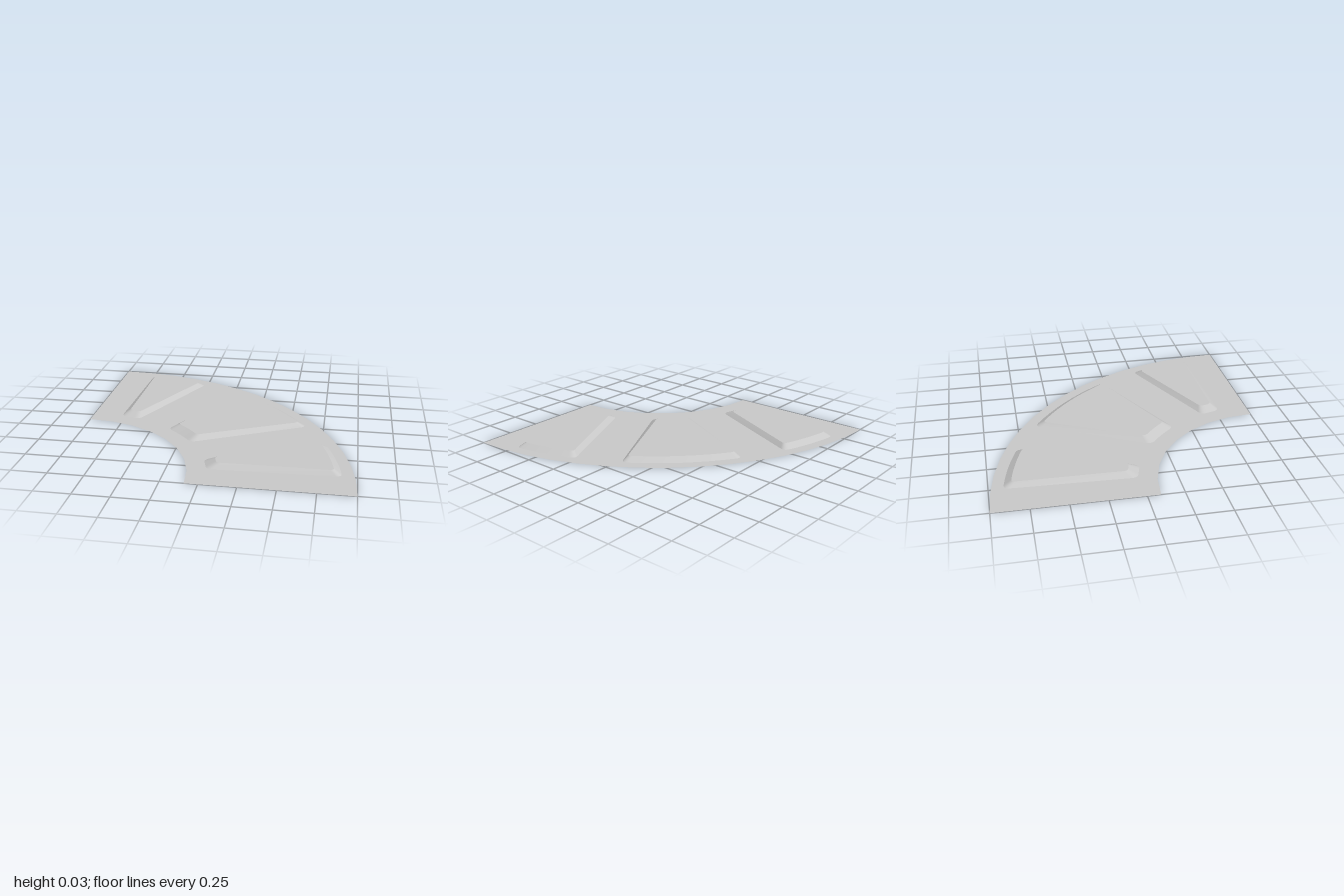
import * as THREE from 'three';

const RAD = Math.PI / 180;
const R_IN = 0.91, R_OUT = 2;          // ring sector radii
const PANEL_IN = 1.037, PANEL_OUT = 1.92; // raised panel radii
const HEIGHT = 0.03;

// Edge angles in degrees: [inner, outer] for each side of a panel
const PANELS = [
  { name: 'leftRaisedPanel', right: [69.6, 67.7], left: [77.8, 82.5] },
  { name: 'middleRaisedPanel', right: [37, 32.3], left: [53, 57.7] },
  { name: 'rightRaisedPanel', right: [12.2, 7.5], left: [20.4, 22.3] },
];

const polar = (r, a) => new THREE.Vector2(r * Math.cos(a), r * Math.sin(a));

function arc(r, a0, a1, n) {
  return Array.from({ length: n + 1 }, (_, i) => polar(r, a0 + (a1 - a0) * i / n));
}

// Counter-clockwise rounded outline of a panel, optionally inset
function outline(p, side, inner, outer, round) {
  const r0 = PANEL_IN + inner, r1 = PANEL_OUT - outer;
  const aR0 = p.right[0] * RAD + side / r0, aR1 = p.right[1] * RAD + side / r1;
  const aL0 = p.left[0] * RAD - side / r0, aL1 = p.left[1] * RAD - side / r1;
  const c = [polar(r0, aR0), polar(r1, aR1), polar(r1, aL1), polar(r0, aL0)];
  const toward = (a, b) => a.clone().add(b.clone().sub(a).setLength(round));
  const top = arc(r1, aR1 + round / r1, aL1 - round / r1, 8);
  const bottom = arc(r0, aL0 - round / r0, aR0 + round / r0, 5);
  const bend = (a, corner, b) => new THREE.QuadraticBezierCurve(a, corner, b).getPoints(5);
  return [
    ...bend(bottom[5], c[0], toward(c[0], c[1])),
    ...bend(toward(c[1], c[0]), c[1], top[0]),
    ...top.slice(1, -1),
    ...bend(top[8], c[2], toward(c[2], c[3])),
    ...bend(toward(c[3], c[2]), c[3], bottom[0]),
    ...bottom.slice(1, -1),
  ];
}

// Lay a flat shape on the ground, ring centre at the back-left-front corner
function flat(shape, y) {
  return new THREE.ShapeGeometry(shape).rotateX(-Math.PI / 2).translate(-1, y, 1);
}

// Sloping wall between the base and top outlines
function wall(base, top) {
  const pos = [], index = [], n = base.length;
  base.forEach((b, i) => {
    const t = top[i], j = (i + 1) % n;
    pos.push(b.x - 1, 0, 1 - b.y, t.x - 1, HEIGHT, 1 - t.y);
    index.push(2 * i, 2 * j, 2 * j + 1, 2 * i, 2 * j + 1, 2 * i + 1);
  });
  const g = new THREE.BufferGeometry();
  g.setAttribute('position', new THREE.Float32BufferAttribute(pos, 3));
  g.setIndex(index);
  g.computeVertexNormals();
  return g;
}

export function createModel() {
  const group = new THREE.Group();
  group.name = 'curvedPanelSheet';
  const grey = new THREE.MeshStandardMaterial({ color: 0xc8c8c8, side: THREE.DoubleSide });
  grey.name = 'light grey';
  const add = (parent, geometry, name) => {
    const mesh = new THREE.Mesh(geometry, grey);
    mesh.name = name;
    parent.add(mesh);
  };

  // Quarter-ring sheet, open beneath the raised panels
  const sheet = new THREE.Shape([
    ...arc(R_OUT, 0, Math.PI / 2, 15),
    ...arc(R_IN, Math.PI / 2, 0, 8),
  ]);

  // Three hollow raised panels
  for (const p of PANELS) {
    const base = outline(p, 0, 0, 0, 0.045);
    const top = outline(p, 0.035, 0.07, 0.05, 0.03);
    sheet.holes.push(new THREE.Path(base));
    const panel = new THREE.Group();
    panel.name = p.name;
    add(panel, wall(base, top), 'slopedRim');
    add(panel, flat(new THREE.Shape(top), HEIGHT), 'panelTop');
    group.add(panel);
  }

  add(group, flat(sheet, 0), 'baseSheet');
  return group;
}
